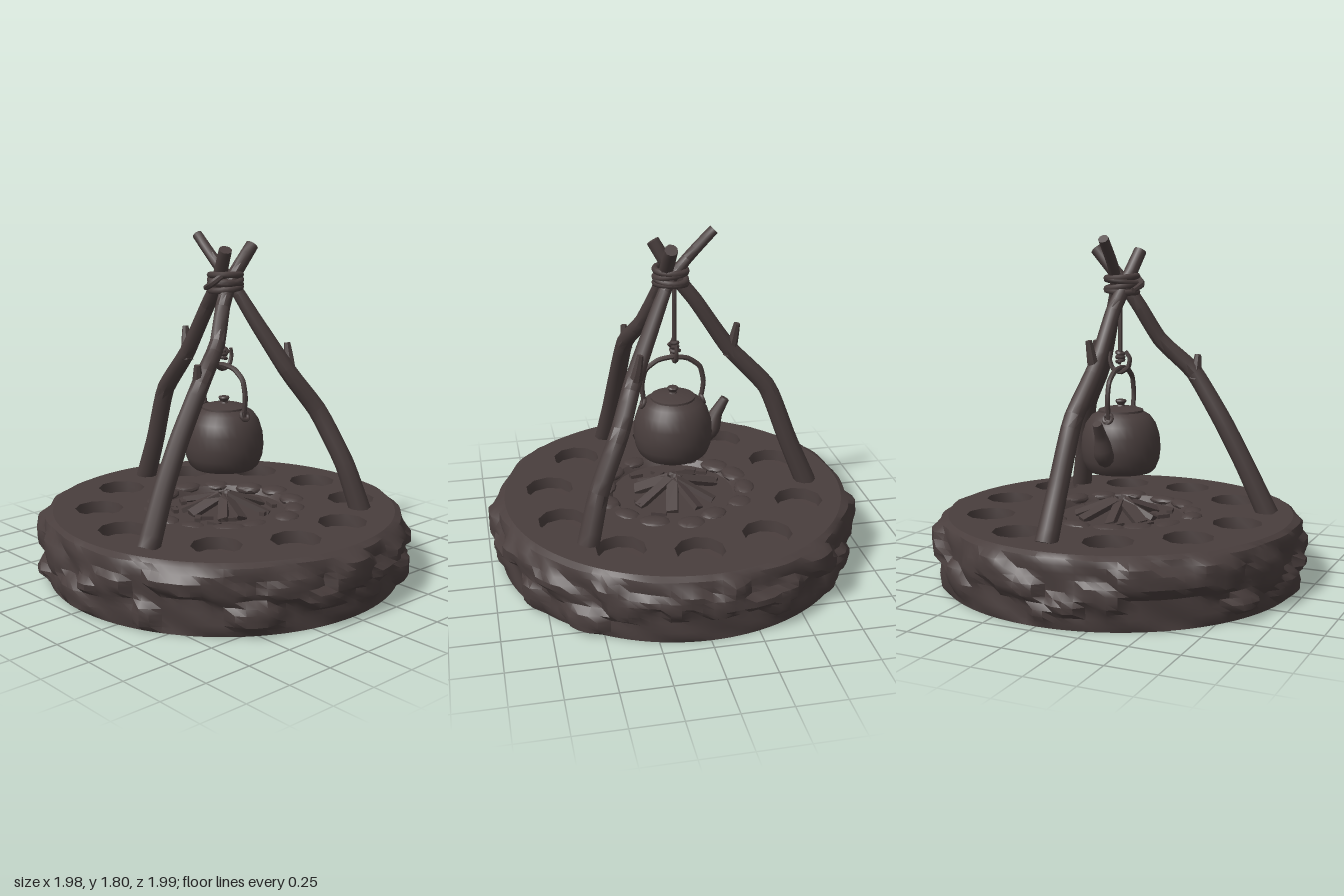
import * as THREE from 'three';
import { toCreasedNormals } from 'three/addons/utils/BufferGeometryUtils.js';

const V = (x, y, z) => new THREE.Vector3(x, y, z);
const TOP = 0.352;

export function createModel() {
  const model = new THREE.Group();
  const brown = new THREE.MeshStandardMaterial({ color: 0x493e3d });
  brown.name = 'darkBrown';
  let seed = 7;
  const rnd = (a = 0, b = 1) => {
    seed = (seed * 16807) % 2147483647;
    return a + (b - a) * seed / 2147483647;
  };

  const add = (name, geo, crease = 0.7, parent = model) => {
    const mesh = new THREE.Mesh(toCreasedNormals(geo, crease), brown);
    mesh.name = name;
    parent.add(mesh);
    return mesh;
  };
  const lathe = (pts, seg) => new THREE.LatheGeometry(pts.map(p => new THREE.Vector2(p[0], p[1])), seg);

  // Tapered tube with closed, blunt ends; radii are spread evenly along the path
  const taper = (pts, radii, sides = 9, n = 28) => {
    const curve = new THREE.CatmullRomCurve3(pts.map(p => V(...p)), false, 'catmullrom', 0.25);
    const geo = new THREE.TubeGeometry(curve, n, 1, sides);
    const pos = geo.attributes.position, v = V(0, 0, 0);
    for (let i = 0; i <= n; i++) {
      const t = Math.min(1, Math.max(0, (i - 1) / (n - 2)));
      const f = t * (radii.length - 1), k = Math.min(radii.length - 2, Math.floor(f));
      const r = i === 0 || i === n ? 0 : THREE.MathUtils.lerp(radii[k], radii[k + 1], f - k);
      const from = curve.getPointAt(i / n), to = curve.getPointAt(t);
      for (let j = 0; j <= sides; j++) {
        const id = i * (sides + 1) + j;
        v.fromBufferAttribute(pos, id).sub(from).multiplyScalar(r).add(to);
        pos.setXYZ(id, v.x, v.y, v.z);
      }
    }
    return geo;
  };

  // Rocky side wall and flat underside of the round base
  const bumps = Array.from({ length: 58 }, (_, i) => ({
    a: (i * 0.618 % 1) * Math.PI * 2, y: rnd(0.06, 0.27),
    w: rnd(0.07, 0.16), t: rnd(0.05, 0.1), h: rnd(0.025, 0.06),
  }));
  const wall = lathe([[0, 0], [0.94, 0], [0.945, 0.03], [0.945, 0.06], [0.945, 0.09], [0.945, 0.12], [0.945, 0.15],
    [0.945, 0.18], [0.945, 0.21], [0.945, 0.24], [0.948, 0.27], [0.95, 0.305], [0.94, 0.335], [0.91, TOP]], 120);
  const wp = wall.attributes.position;
  for (let i = 0; i < wp.count; i++) {
    const x = wp.getX(i), y = wp.getY(i), z = wp.getZ(i), r = Math.hypot(x, z);
    if (y < 0.02 || y > 0.34) continue;
    const a = Math.atan2(x, z);
    let d = 0.006 * Math.sin(a * 9) + 0.005 * Math.sin(a * 17 + y * 30);
    for (const b of bumps) {
      const da = Math.atan2(Math.sin(a - b.a), Math.cos(a - b.a));
      const q = (da / b.w) ** 2 + ((y - b.y) / b.t) ** 2;
      if (q < 1) d = Math.max(d, b.h * Math.min(1, 1.5 * (1 - q)));
    }
    const s = Math.min(0.998, r + d) / r;
    wp.setXYZ(i, x * s, y, z * s);
  }
  add('baseWall', wall, 0.6);

  // Top of the base with openings for the cups and the fire pit
  const ring = (cx, cz, r, n) => Array.from({ length: n }, (_, i) => {
    const a = i / n * Math.PI * 2;
    return new THREE.Vector2(cx + r * Math.sin(a), -(cz + r * Math.cos(a)));
  });
  const cups = [[0, -0.68], [0.38, -0.59], [0.63, -0.25], [0.66, 0.12], [0.47, 0.47],
    [-0.02, 0.66], [-0.39, 0.54], [-0.62, 0.22], [-0.63, -0.27], [-0.37, -0.58]];
  const CUP = 0.128, PIT = 0.36;
  const shape = new THREE.Shape(ring(0, 0, 0.91, 120));
  cups.forEach(([x, z]) => shape.holes.push(new THREE.Path(ring(x, z, CUP, 10))));
  shape.holes.push(new THREE.Path(ring(0, 0, PIT, 24)));
  add('baseTop', new THREE.ShapeGeometry(shape).rotateX(-Math.PI / 2).translate(0, TOP, 0));
  cups.forEach(([x, z]) =>
    add('cupHollow', lathe([[CUP, TOP], [CUP * 0.95, 0.29], [0, 0.285]], 10).translate(x, 0, z), 0.8));
  add('firePit', lathe([[PIT, TOP], [0.33, 0.322], [0, 0.315]], 24));

  // Uneven stones round the pit
  for (let i = 0; i < 14; i++) {
    const a = i / 14 * Math.PI * 2 + rnd(-0.06, 0.06), r = rnd(0.36, 0.4);
    const stone = new THREE.DodecahedronGeometry(1, 1);
    stone.scale(rnd(0.07, 0.1), rnd(0.022, 0.034), rnd(0.045, 0.07));
    stone.rotateY(a + rnd(-0.2, 0.2)).translate(r * Math.sin(a), 0.34, r * Math.cos(a));
    add('pitStone', stone, 0.6);
  }

  // Split firewood leaning into a low heap, with loose chips
  for (let i = 0; i < 9; i++) {
    const a = i / 9 * Math.PI * 2 + rnd(-0.15, 0.15), len = rnd(0.19, 0.26);
    const log = new THREE.BoxGeometry(rnd(0.045, 0.075), 0.028, len);
    log.rotateZ(rnd(-0.4, 0.4)).rotateX(rnd(0.28, 0.4)).translate(0, 0.365, len / 2 + 0.015).rotateY(a);
    add('firewood', log, 0.3);
  }
  for (let i = 0; i < 10; i++) {
    const a = rnd(0, 6.28), r = rnd(0.18, 0.28);
    add('woodChip', new THREE.BoxGeometry(0.03, 0.02, rnd(0.05, 0.09))
      .rotateY(rnd(0, 6)).translate(r * Math.sin(a), 0.33, r * Math.cos(a)), 0.3);
  }

  // Tripod poles, each with a broken twig
  const poles = [
    { path: [[-0.74, 0.34, -0.05], [-0.63, 0.6, -0.04], [-0.51, 0.91, -0.02], [-0.3, 1.14, 0], [-0.12, 1.41, 0.01],
      [-0.01, 1.55, 0.03], [0.09, 1.72, 0.07]], twig: [[-0.3, 1.1, 0], [-0.32, 1.19, -0.01], [-0.335, 1.28, -0.02]] },
    { path: [[0.53, 0.34, -0.5], [0.46, 0.6, -0.44], [0.34, 0.87, -0.36], [0.25, 1.08, -0.23], [0.12, 1.35, -0.11],
      [0.03, 1.53, -0.04], [-0.08, 1.65, -0.01], [-0.21, 1.78, 0]], r: 0.8,
    twig: [[0.25, 1.06, -0.24], [0.23, 1.15, -0.25], [0.215, 1.23, -0.25]] },
    { path: [[0.27, 0.34, 0.73], [0.24, 0.6, 0.61], [0.22, 0.83, 0.49], [0.2, 1.09, 0.33], [0.135, 1.25, 0.17],
      [0.07, 1.44, 0.07], [0.045, 1.56, -0.01], [0.04, 1.73, -0.16]],
    twig: [[0.19, 1.05, 0.34], [0.195, 1.12, 0.35], [0.2, 1.18, 0.355]] },
  ];
  poles.forEach(({ path, twig, r = 1 }) => {
    add('tripodPole', taper(path, [0.058, 0.052, 0.05, 0.046, 0.04, 0.038 * r, 0.034 * r]));
    add('poleTwig', taper(twig, [0.035, 0.026, 0.017], 7, 10));
  });

  // Rope lashing and knot where the poles cross
  [[1.515, 0.1, 0.05], [1.54, -0.15, 0.1], [1.56, 0.12, -0.14], [1.585, -0.05, 0.06]].forEach(([y, tx, tz]) =>
    add('lashing', new THREE.TorusGeometry(0.08, 0.017, 7, 20).rotateX(Math.PI / 2 + tx).rotateZ(tz)
      .translate(0.012, y, 0), 1.2));
  add('lashingEnd', taper([[0.06, 1.59, 0.06], [0.03, 1.55, 0.105], [-0.04, 1.52, 0.09]], [0.016, 0.018, 0.014], 7, 10));

  // Hanging rope and hook
  add('hangingRope', taper([[-0.008, 1.56, 0], [-0.008, 1.36, 0], [-0.008, 1.15, 0]], [0.012, 0.012], 7, 8));
  [1.15, 1.17, 1.19].forEach((y, i) =>
    add('ropeKnot', new THREE.TorusGeometry(0.017, 0.011, 6, 12).rotateX(Math.PI / 2 + 0.3 * (i - 1))
      .translate(-0.008, y, 0), 1.2));
  add('hook', taper([[-0.008, 1.2, 0.03], [-0.008, 1.165, 0.055], [-0.008, 1.115, 0.045], [-0.008, 1.09, 0],
    [-0.008, 1.11, -0.045], [-0.008, 1.155, -0.06], [-0.008, 1.195, -0.055]], [0.011, 0.013, 0.013, 0.009], 7, 24));
  add('hookPin', taper([[-0.04, 1.14, 0.01], [-0.008, 1.16, 0], [0.025, 1.19, -0.01]], [0.01, 0.01], 6, 8));

  // Kettle: body with lid and knob, spout, ears and arched handle
  const kettle = new THREE.Group();
  kettle.name = 'kettle';
  model.add(kettle);
  add('kettleBody', lathe([[0, 0.565], [0.165, 0.565], [0.185, 0.585], [0.203, 0.63], [0.21, 0.69], [0.204, 0.76],
    [0.185, 0.82], [0.155, 0.862], [0.115, 0.885]], 32), 0.7, kettle);
  add('kettleLid', lathe([[0.12, 0.875], [0.118, 0.893], [0.09, 0.902], [0.022, 0.91], [0.018, 0.918], [0.03, 0.938],
    [0.025, 0.945], [0, 0.947]], 24), 0.7, kettle);
  add('spout', taper([[-0.15, 0.66, 0], [-0.205, 0.69, 0], [-0.235, 0.77, 0], [-0.285, 0.855, 0]],
    [0.065, 0.05, 0.032, 0.024], 12, 16), 0.7, kettle);
  add('handle', taper([[-0.15, 0.86, 0], [-0.165, 0.96, 0], [-0.145, 1.05, 0], [-0.08, 1.1, 0], [0, 1.113, 0],
    [0.08, 1.1, 0], [0.145, 1.05, 0], [0.165, 0.96, 0], [0.152, 0.86, 0]], [0.013, 0.014, 0.013], 8, 36), 0.7, kettle);
  [-1, 1].forEach(s =>
    add('handleEar', new THREE.TorusGeometry(0.024, 0.01, 7, 14).rotateY(Math.PI / 2)
      .rotateZ(s * 0.4).translate(s * 0.16, 0.865, 0), 1.2, kettle));

  return model;
}
